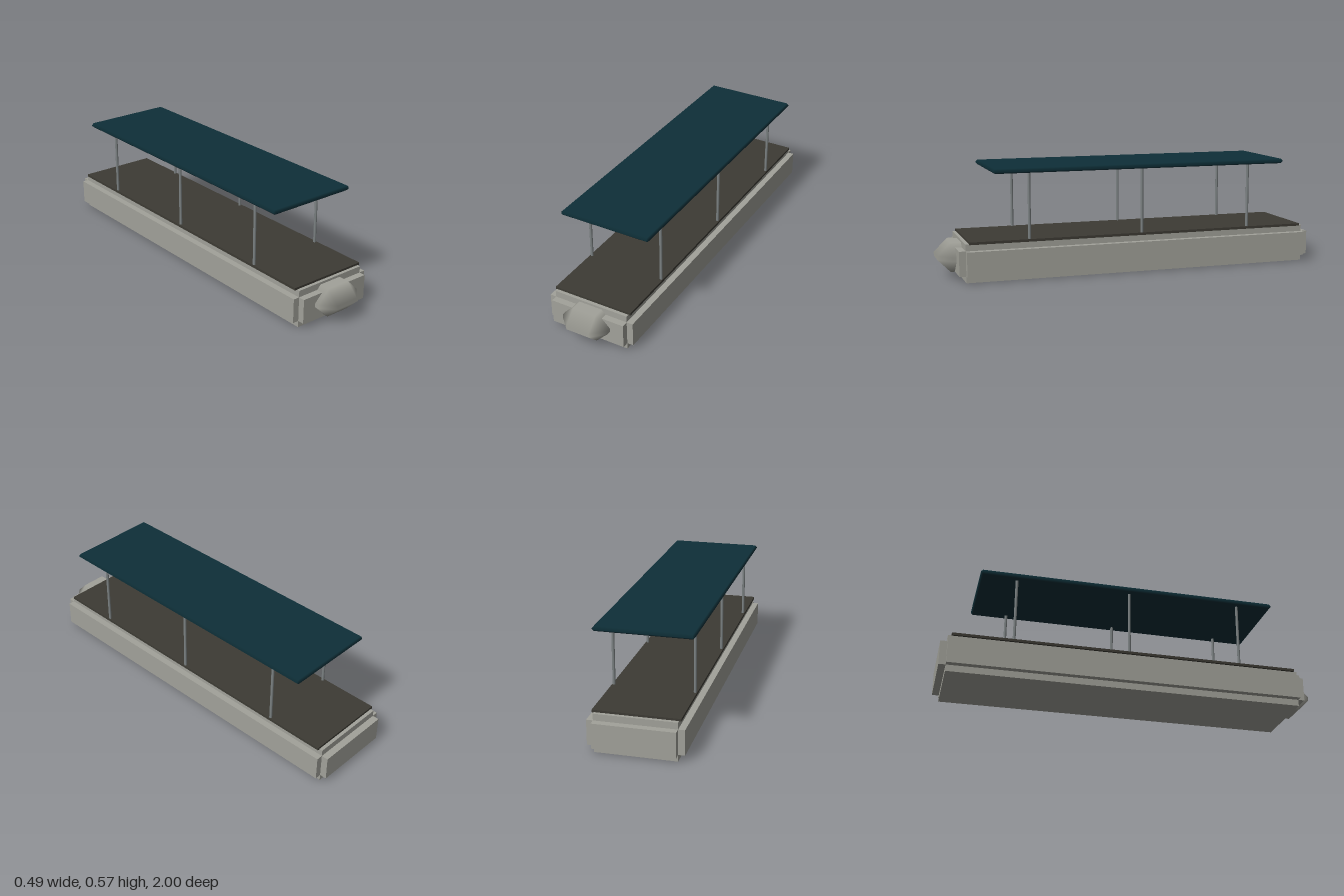
import * as THREE from 'three';
import { ConvexGeometry } from 'three/addons/geometries/ConvexGeometry.js';

const material = (name, color) => new THREE.MeshStandardMaterial({ name, color });

// Box with 45 degree chamfers; each corner keeps its flat face's normal, so the chamfers shade softly.
function softBox(w, h, d, bevel) {
  const half = [w / 2, h / 2, d / 2];
  const points = [];
  for (const sx of [-1, 1]) for (const sy of [-1, 1]) for (const sz of [-1, 1]) {
    const s = [sx, sy, sz];
    for (let axis = 0; axis < 3; axis++) {
      points.push(new THREE.Vector3(...half.map((v, i) => s[i] * (i === axis ? v : v - bevel))));
    }
  }
  const geometry = new ConvexGeometry(points);
  const p = geometry.attributes.position;
  const n = geometry.attributes.normal;
  for (let i = 0; i < p.count; i++) {
    const c = [p.getX(i), p.getY(i), p.getZ(i)];
    n.setXYZ(i, ...c.map((v, k) => (Math.abs(v) > half[k] - bevel / 2 ? Math.sign(v) : 0)));
  }
  return geometry;
}

export function createModel() {
  const group = new THREE.Group();
  group.name = 'canopyBarge';
  const hullGrey = material('hullGrey', 0xa2a29a);
  const deckBrown = material('deckBrown', 0x3d3b34);
  const canopyTeal = material('canopyTeal', 0x0e2f38);
  const postSteel = material('postSteel', 0x7c8283);

  const add = (name, geometry, mat, x, y, z) => {
    const mesh = new THREE.Mesh(geometry, mat);
    mesh.name = name;
    mesh.position.set(x, y, z);
    group.add(mesh);
  };
  // Box from its width, height range and depth range
  const slab = (name, w, y0, y1, z0, z1, mat) =>
    add(name, new THREE.BoxGeometry(w, y1 - y0, z1 - z0), mat, 0, (y0 + y1) / 2, (z0 + z1) / 2);

  // Hull: three crossed boxes with stepped edges
  slab('hullCore', 0.404, 0, 0.195, -0.965, 0.88, hullGrey);
  slab('hullSides', 0.47, 0.034, 0.161, -0.965, 0.88, hullGrey);
  slab('hullEnds', 0.404, 0.034, 0.161, -1, 0.914, hullGrey);

  // Faceted bow nose, its back sunk in the hull
  add('bowNose', softBox(0.256, 0.15, 0.2, 0.065), hullGrey, 0, 0.108, 0.9);

  // Deck and canopy
  slab('deck', 0.426, 0.193, 0.206, -0.947, 0.863, deckBrown);
  add('canopy', softBox(0.49, 0.024, 1.57, 0.01), canopyTeal, 0, 0.555, -0.042);

  // Canopy posts
  const post = new THREE.CylinderGeometry(0.0075, 0.0075, 0.35, 12);
  for (const z of [0.557, -0.04, -0.637]) {
    for (const side of [-1, 1]) add('canopyPost', post, postSteel, side * 0.203, 0.374, z);
  }
  return group;
}
